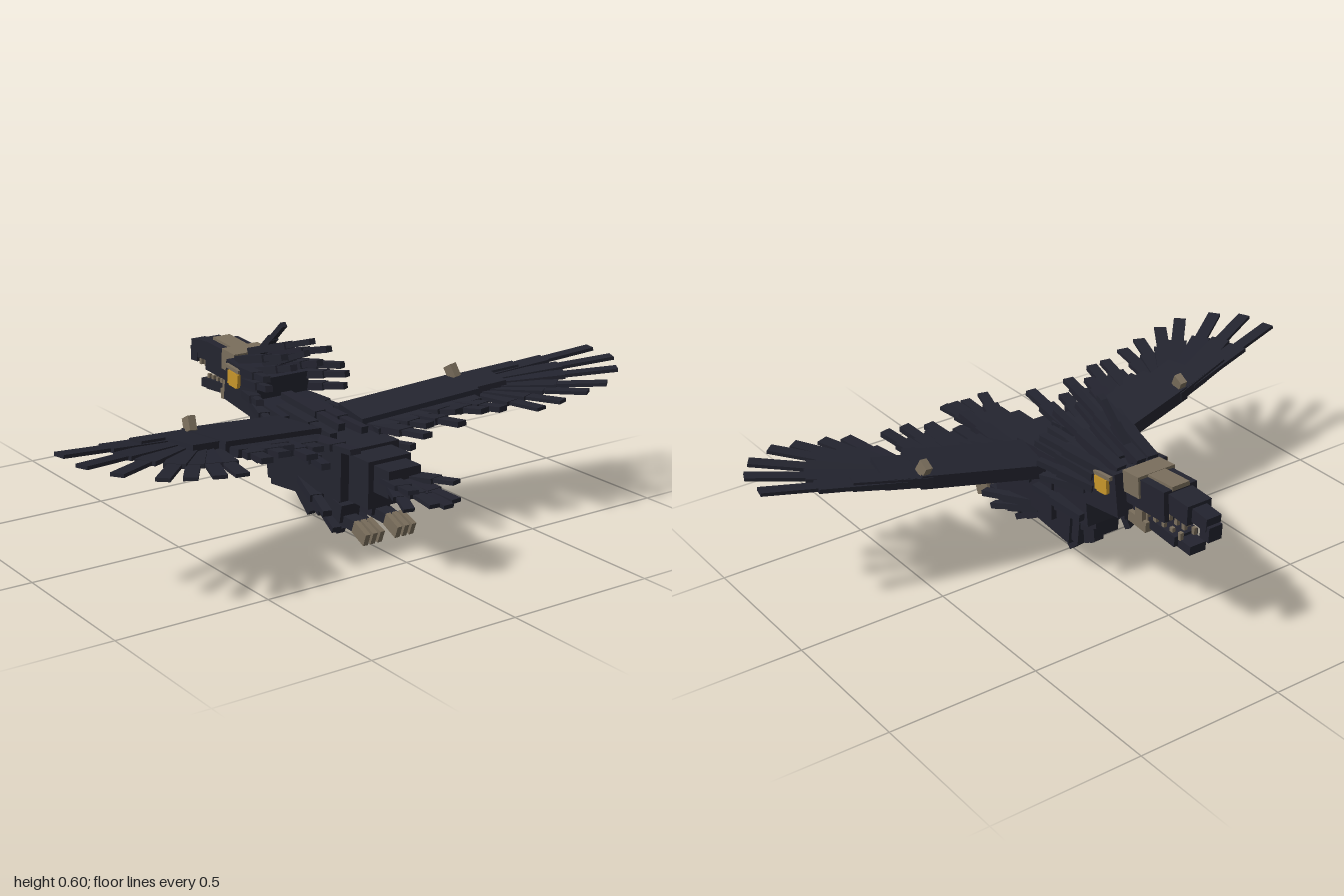
import * as THREE from 'three';

const mat = (name, color) => {
  const m = new THREE.MeshStandardMaterial({ color });
  m.name = name;
  return m;
};

export function createModel() {
  const dark = mat('dark plumage', 0x23242f);
  const bone = mat('bone', 0x7a6e5c);
  const gold = mat('gold eye', 0xc8962a);
  const model = new THREE.Group();
  model.name = 'bird';
  const V = (p) => new THREE.Vector3(...p);

  // Box by size and centre, with an optional pitch about x
  function box(name, m, size, pos, pitch = 0, parent = model) {
    const b = new THREE.Mesh(new THREE.BoxGeometry(...size), m);
    b.name = name;
    b.position.set(...pos);
    b.rotation.x = pitch;
    parent.add(b);
    return b;
  }

  // Bar from a to b, width lying sideways and thickness along the up side
  function bar(name, a, b, w, t, m = dark) {
    const p = V(a), q = V(b);
    const z = q.clone().sub(p), len = z.length();
    z.normalize();
    const x = new THREE.Vector3(0, 1, 0).cross(z).normalize();
    const y = z.clone().cross(x);
    const mid = p.add(q).multiplyScalar(0.5);
    const mesh = box(name, m, [w, t, len], mid.toArray());
    mesh.quaternion.setFromRotationMatrix(new THREE.Matrix4().makeBasis(x, y, z));
    return mesh;
  }

  // Feather: broad vane with a narrower tip
  function feather(name, a, b, w, t = 0.018, split = 0.62) {
    const m = V(a).lerp(V(b), split).toArray();
    bar(name + 'Vane', a, m, w, t);
    bar(name + 'Tip', V(a).lerp(V(b), split * 0.8).toArray(), b, w * 0.65, t * 0.8);
  }

  // Torso, breast and tail base
  box('torso', dark, [0.22, 0.16, 0.35], [0, 0.245, 0.135]);
  box('rump', dark, [0.16, 0.15, 0.14], [0, 0.24, 0.34]);
  box('tailBase', dark, [0.12, 0.085, 0.09], [0, 0.26, 0.44]);
  box('belly', dark, [0.18, 0.12, 0.38], [0, 0.18, 0.08], -0.1);
  box('breast', dark, [0.16, 0.2, 0.16], [0, 0.22, -0.07], -0.12);
  box('shoulders', dark, [0.2, 0.15, 0.18], [0, 0.285, -0.12], 0.12);
  box('neck', dark, [0.2, 0.14, 0.19], [0, 0.38, -0.265], 0.14);
  box('throat', dark, [0.14, 0.07, 0.14], [0, 0.33, -0.29], 0.14);

  // Head with bone plates
  box('head', dark, [0.125, 0.1, 0.19], [0, 0.42, -0.445], 0.06);
  box('browPlate', bone, [0.14, 0.07, 0.075], [0, 0.44, -0.39], 0.08);
  box('crownPlate', bone, [0.065, 0.014, 0.12], [0, 0.474, -0.48], 0.08);
  box('upperBeak', dark, [0.09, 0.065, 0.09], [0, 0.432, -0.58], -0.04);
  box('beakTip', dark, [0.055, 0.045, 0.08], [0, 0.427, -0.65], -0.1);
  box('beakHook', dark, [0.05, 0.05, 0.04], [0, 0.395, -0.68], -0.05);
  box('jawHinge', bone, [0.12, 0.035, 0.085], [0, 0.318, -0.41], -0.08);
  box('jaw', dark, [0.09, 0.035, 0.2], [0, 0.325, -0.47], -0.08);
  box('jawTip', dark, [0.06, 0.03, 0.1], [0, 0.31, -0.575], -0.06);

  for (const s of [1, -1]) {
    // Eyes
    box('eye', gold, [0.02, 0.045, 0.06], [s * 0.102, 0.41, -0.295], 0.1);
    box('eyeHeight', gold, [0.018, 0.055, 0.045], [s * 0.102, 0.41, -0.295], 0.1);
    box('eyeRidge', bone, [0.012, 0.012, 0.08], [s * 0.106, 0.443, -0.3], 0.1);
    // Cheek joints and teeth
    box('cheek', bone, [0.014, 0.06, 0.035], [s * 0.055, 0.36, -0.42]);
    for (let i = 0; i < 5; i++) {
      const z = -0.44 - i * 0.034;
      box('lowerTooth', bone, [0.012, 0.025, 0.013], [s * (0.042 - i * 0.004), 0.347 - i * 0.003, z]);
      if (i > 1) box('upperTooth', bone, [0.012, 0.025, 0.013], [s * 0.038, 0.39, z - 0.03]);
    }

    // Neck ruff: root, tip
    [
      [[0.06, 0.46, -0.33], [0.085, 0.54, -0.03]],
      [[0.08, 0.44, -0.28], [0.145, 0.475, -0.04]],
      [[0.09, 0.41, -0.24], [0.15, 0.45, -0.02]],
      [[0.09, 0.37, -0.24], [0.165, 0.40, -0.05]],
      [[0.09, 0.35, -0.2], [0.14, 0.33, -0.03]],
      [[0.04, 0.44, -0.24], [0.05, 0.5, -0.03]],
    ].forEach(([a, b]) => feather('ruff', [a[0] * s, a[1], a[2]], [b[0] * s, b[1], b[2]], 0.038, 0.025));

    // Flank, breast and thigh feathers
    [
      [[0.1, 0.27, 0.07], [0.165, 0.29, 0.31]],
      [[0.1, 0.25, -0.2], [0.13, 0.27, 0.02]],
      [[0.08, 0.18, 0.05], [0.145, 0.13, 0.29]],
      [[0.07, 0.15, 0.07], [0.11, 0.07, 0.29]],
      [[0.04, 0.13, 0.06], [0.05, 0.035, 0.23]],
      [[0.06, 0.25, -0.16], [0.08, 0.15, -0.2]],
    ].forEach(([a, b]) => feather('flank', [a[0] * s, a[1], a[2]], [b[0] * s, b[1], b[2]], 0.045, 0.025));

    // Legs tucked back, with three toes each
    bar('thigh', [s * 0.055, 0.15, 0.1], [s * 0.06, 0.115, 0.29], 0.07, 0.06);
    bar('shin', [s * 0.06, 0.095, 0.18], [s * 0.06, 0.088, 0.36], 0.045, 0.035);
    for (const k of [-1, 0, 1])
      bar('toe', [s * 0.06 + k * 0.024, 0.095, 0.35], [s * 0.06 + k * 0.027, 0.07, 0.415], 0.017, 0.042, bone);

    // Wing: height rises steadily with distance from the body
    const wy = (x) => 0.322 + x * 0.134;
    const P = (x, z, d = 0) => [s * x, wy(x) + d, z];
    bar('innerWing', P(0.1, 0.07), P(0.5, 0.155), 0.19, 0.045);
    bar('wingCovert', P(0.1, 0.15, -0.005), P(0.47, 0.2, -0.005), 0.17, 0.026);
    bar('outerWing', P(0.47, 0.135), P(0.61, 0.17), 0.16, 0.035);
    bar('wingEdge', P(0.48, 0.075), P(0.72, 0.14), 0.05, 0.03);
    const claw = box('wingClaw', bone, [0.025, 0.045, 0.04], [s * 0.5, 0.425, 0.08], -0.5);
    claw.rotation.z = s * 0.13;

    // Primary feathers: root x, z, tip x, z
    [
      [0.55, 0.1, 0.995, 0.2], [0.55, 0.13, 0.985, 0.315], [0.55, 0.15, 0.925, 0.405],
      [0.54, 0.16, 0.82, 0.47], [0.53, 0.17, 0.735, 0.475], [0.52, 0.17, 0.635, 0.47],
      [0.5, 0.17, 0.555, 0.46],
    ].forEach(([x, z, u, v], i) => feather('primary', P(x, z, -i * 0.002), P(u, v, -i * 0.002), 0.065, 0.014));

    // Secondary feathers
    [
      [0.4, 0.2, 0.44, 0.41], [0.34, 0.2, 0.375, 0.4], [0.25, 0.18, 0.28, 0.405],
      [0.29, 0.18, 0.32, 0.34], [0.18, 0.16, 0.21, 0.335], [0.12, 0.16, 0.135, 0.42],
    ].forEach(([x, z, u, v], i) => feather('secondary', P(x, z, -0.008), P(u, v, 0.01 + (i % 2) * 0.012), 0.058, 0.022));
  }

  // Crest and back feathers along the middle
  feather('crest', [0, 0.46, -0.32], [0, 0.605, -0.16], 0.03, 0.022);
  feather('crest', [0, 0.475, -0.35], [0, 0.585, 0], 0.035, 0.024);
  feather('crest', [0, 0.45, -0.26], [0, 0.54, -0.03], 0.035, 0.024);
  feather('backFeather', [0, 0.37, -0.15], [0, 0.345, 0.16], 0.04, 0.03);
  for (const s of [1, -1]) feather('backFeather', [s * 0.05, 0.35, -0.1], [s * 0.06, 0.335, 0.2], 0.04, 0.03);

  // Breast spur
  bar('breastSpur', [0, 0.11, -0.11], [0, 0.015, 0], 0.028, 0.022);
  box('breastTuft', dark, [0.05, 0.06, 0.03], [0, 0.125, -0.12]);

  // Tail fan
  for (const [x, y, z] of [[0, 0.245, 0.695], [0.04, 0.25, 0.68], [0.08, 0.285, 0.63], [0.06, 0.212, 0.585]])
    for (const s of x ? [1, -1] : [1])
      feather('tail', [s * x * 0.4, 0.262, 0.44], [s * x, y, z], 0.055, 0.016);

  return model;
}
